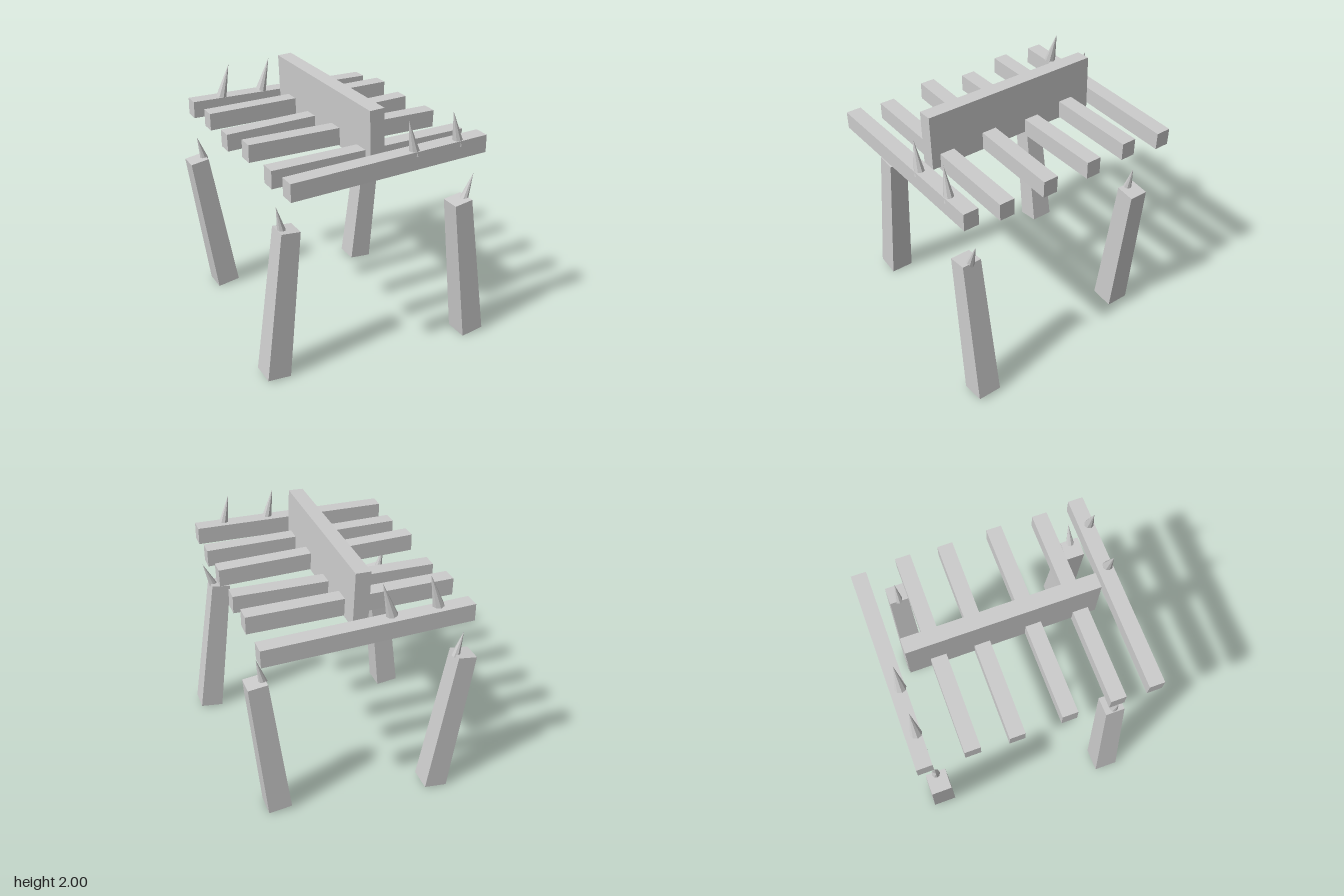
import * as THREE from 'three';

const material = new THREE.MeshStandardMaterial({ color: 0xcccccc, flatShading: true });
const UP = new THREE.Vector3(0, 1, 0);

export function createModel() {
  const model = new THREE.Group();

  const add = (name, geometry) => {
    const mesh = new THREE.Mesh(geometry, material);
    mesh.name = name;
    model.add(mesh);
    return mesh;
  };

  // Stands a y-aligned geometry between two points
  const span = (name, from, to, makeGeometry) => {
    const a = new THREE.Vector3(...from);
    const b = new THREE.Vector3(...to);
    const axis = b.clone().sub(a);
    const mesh = add(name, makeGeometry(axis.length()));
    mesh.position.copy(a).add(b).multiplyScalar(0.5);
    mesh.quaternion.setFromUnitVectors(UP, axis.normalize());
  };

  const spike = (name, from, to, radius) =>
    span(name, from, to, (length) => new THREE.ConeGeometry(radius, length, 8));

  // Square post, tapering towards the top
  const post = (length) =>
    new THREE.CylinderGeometry(0.15 * Math.SQRT1_2, 0.187 * Math.SQRT1_2, length, 4, 1)
      .rotateY(Math.PI / 4);

  // Roof slats: z, centre height at the -x end, centre height at the +x end
  const slats = [
    [-0.87, 1.63, 1.598],
    [-0.52, 1.648, 1.648],
    [-0.19, 1.597, 1.625],
    [0.2, 1.66, 1.633],
    [0.57, 1.612, 1.612],
    [0.86, 1.638, 1.667],
  ];
  for (const [z, yLeft, yRight] of slats) {
    const slat = add('roofSlat', new THREE.BoxGeometry(1.57, 0.135, 0.118));
    slat.position.set(-0.005, (yLeft + yRight) / 2, z);
    slat.rotation.z = Math.atan2(yRight - yLeft, 1.57);
  }

  // Upright ridge board across the slats
  const ridge = add('ridgeBoard', new THREE.BoxGeometry(0.115, 0.428, 1.44));
  ridge.position.set(-0.004, 1.784, -0.022);
  ridge.rotation.z = 0.035;

  // Legs with a spike each: z, foot x, top x, spike base x, spike tip x
  const legs = [
    [0.823, 0.81, 0.64, 0.69, 0.765],
    [-0.638, 0.625, 0.75, 0.693, 0.737],
    [0.617, -0.813, -0.683, -0.72, -0.76],
    [-0.808, -0.62, -0.8, -0.735, -0.787],
  ];
  for (const [z, footX, topX, baseX, tipX] of legs) {
    span('leg', [footX, 0.014, z], [topX, 1.207, z], post);
    spike('legSpike', [baseX, 1.195, z], [tipX, 1.397, z], 0.034);
  }

  // Larger spikes on the outer slats: z, base x, tip x
  const roofSpikes = [
    [0.88, 0.19, 0.13],
    [0.88, 0.558, 0.5],
    [-0.848, -0.185, -0.108],
    [-0.848, -0.537, -0.462],
  ];
  for (const [z, baseX, tipX] of roofSpikes) {
    spike('roofSpike', [baseX, 1.69, z], [tipX, 1.95, z], 0.044);
  }

  return model;
}
